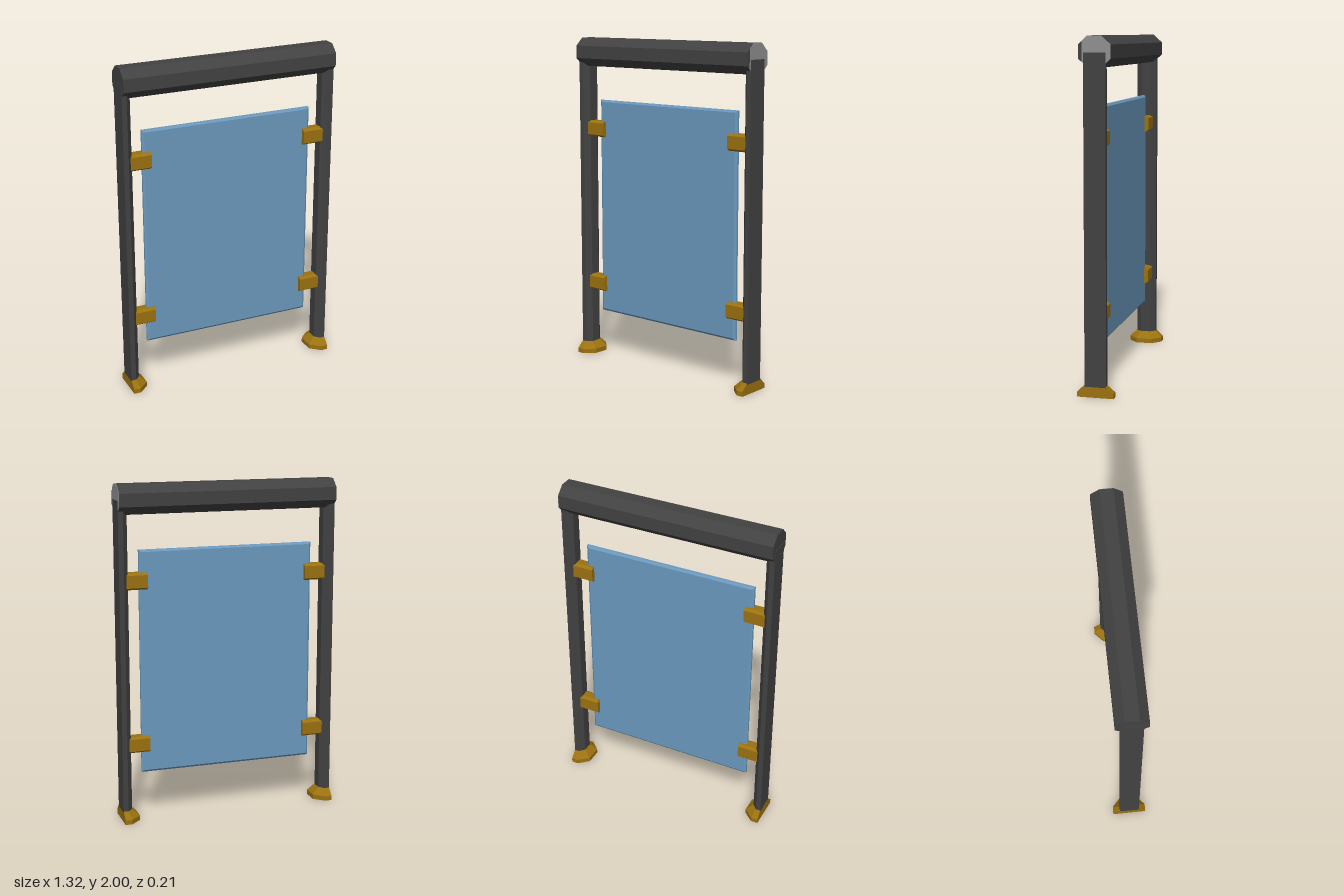
import * as THREE from 'three';

const flat = (color, name) => {
  const m = new THREE.MeshStandardMaterial({ color });
  m.name = name;
  return m;
};

// Extrude a closed 2D outline, centred along its depth
function prism(points, depth) {
  const shape = new THREE.Shape(points.map(([a, b]) => new THREE.Vector2(a, b)));
  return new THREE.ExtrudeGeometry(shape, { depth, bevelEnabled: false }).translate(0, 0, -depth / 2);
}

// Octagon outline from half sizes and the half lengths of its flats
const octagon = (w, h, fw, fh) => [
  [w, -fh], [w, fh], [fw, h], [-fw, h], [-w, fh], [-w, -fh], [-fw, -h], [fw, -h],
];

// Solid with flat faces through equal rings of points
function loft(rings) {
  const pos = [];
  const tri = (...p) => p.forEach((v) => pos.push(...v));
  const n = rings[0].length;
  for (let r = 0; r < rings.length - 1; r++) {
    for (let i = 0; i < n; i++) {
      const j = (i + 1) % n;
      const [a, b, c, d] = [rings[r][i], rings[r][j], rings[r + 1][j], rings[r + 1][i]];
      tri(a, b, c);
      tri(a, c, d);
    }
  }
  const last = rings[rings.length - 1];
  for (let i = 1; i < n - 1; i++) {
    tri(rings[0][0], rings[0][i + 1], rings[0][i]);
    tri(last[0], last[i], last[i + 1]);
  }
  const g = new THREE.BufferGeometry();
  g.setAttribute('position', new THREE.Float32BufferAttribute(pos, 3));
  g.computeVertexNormals();
  return g;
}

// Half octagon in plan, flat on the outer +x side, counterclockwise from above
const OUT = 0.662;
const halfRing = (y, inner, corner, hz, fz) => [
  [OUT, y, hz], [OUT, y, -hz], [corner, y, -hz], [inner, y, -fz], [inner, y, fz], [corner, y, hz],
];

export function createModel() {
  const model = new THREE.Group();
  const dark = flat(0x424242, 'dark metal');
  const brass = flat(0x9c7210, 'brass');
  const glass = flat(0x6b99be, 'blue panel');
  const grey = flat(0x909090, 'light grey');

  const add = (name, geometry, material, parent = model) => {
    const mesh = new THREE.Mesh(geometry, material);
    mesh.name = name;
    parent.add(mesh);
    return mesh;
  };

  // Octagonal top rail
  const rail = add('topRail', prism(octagon(0.09, 0.086, 0.038, 0.038), 1.318), dark);
  rail.rotation.y = Math.PI / 2;
  rail.position.y = 1.914;

  // Pale end plate on the left end of the rail
  const cap = add('railEndPlate', prism(
    [[0.09, -0.038], [0.09, 0.038], [0.038, 0.086], [-0.038, 0.086], [-0.07, 0.056], [-0.07, -0.056], [-0.038, -0.086], [0.038, -0.086]],
    0.002), grey);
  cap.rotation.y = Math.PI / 2;
  cap.position.set(0.66, 1.914, 0);

  // Bevelled panel
  const panelRing = (x, y, z) => [[-x, -y, z], [x, -y, z], [x, y, z], [-x, y, z]];
  const panel = add('panel', loft([
    panelRing(0.52, 0.656, -0.016),
    panelRing(0.532, 0.668, -0.007),
    panelRing(0.532, 0.668, 0.007),
    panelRing(0.52, 0.656, 0.016),
  ]), glass);
  panel.position.y = 0.953;

  // Posts, feet and clamps; the right side is the left turned half round
  const post = loft([halfRing(0.06, 0.603, 0.632, 0.062, 0.03), halfRing(1.91, 0.603, 0.632, 0.062, 0.03)]);
  const foot = loft([
    halfRing(0, 0.56, 0.62, 0.105, 0.05),
    halfRing(0.028, 0.56, 0.62, 0.105, 0.05),
    halfRing(0.068, 0.6, 0.632, 0.064, 0.032),
  ]);
  const clamp = prism(octagon(0.042, 0.049, 0.024, 0.037), 0.13).rotateY(Math.PI / 2);
  for (const side of ['left', 'right']) {
    const group = new THREE.Group();
    group.name = side + 'Support';
    if (side === 'right') group.rotation.y = Math.PI;
    add('post', post, dark, group);
    add('foot', foot, brass, group);
    for (const y of [0.464, 1.442]) add('clamp', clamp, brass, group).position.set(0.551, y, 0);
    model.add(group);
  }
  return model;
}
